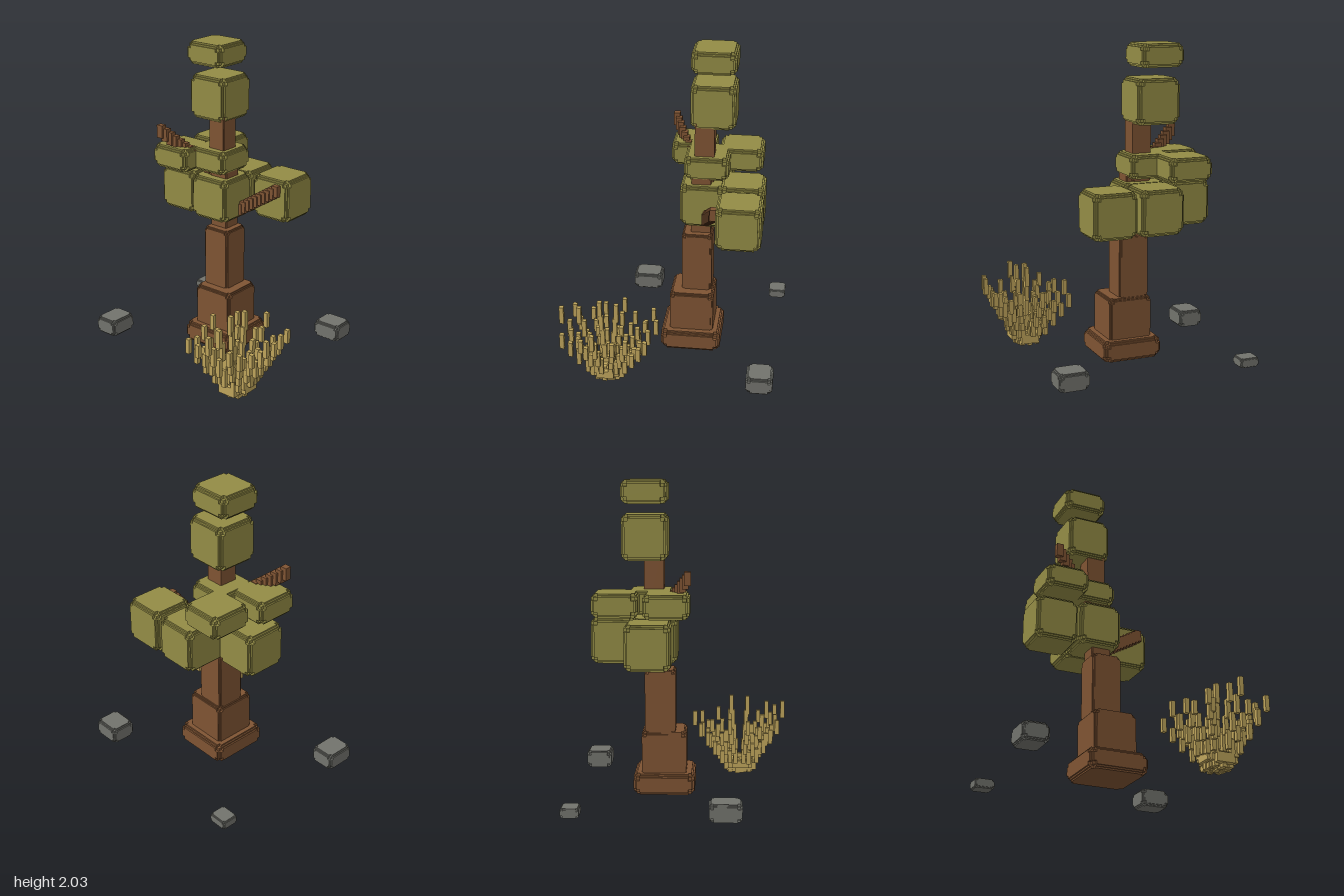
import * as THREE from 'three';
import { mergeGeometries } from 'three/addons/utils/BufferGeometryUtils.js';

const material = (name, color) => {
  const m = new THREE.MeshStandardMaterial({ color });
  m.name = name;
  return m;
};

// Axis-aligned box from its two opposite corners
function boxBetween(a, b) {
  const g = new THREE.BoxGeometry(b[0] - a[0], b[1] - a[1], b[2] - a[2]);
  return g.translate((a[0] + b[0]) / 2, (a[1] + b[1]) / 2, (a[2] + b[2]) / 2);
}

// Block with stepped edges and corners: a union of boxes inset differently per axis
function steppedBlock(a, b, s) {
  const insets = [
    [0, s, 2 * s], [0, 2 * s, s], [s, 0, 2 * s], [2 * s, 0, s], [s, 2 * s, 0], [2 * s, s, 0],
    [s / 2, s / 2, 2 * s], [s / 2, 2 * s, s / 2], [2 * s, s / 2, s / 2],
    [s, s, s * 0.8],
  ];
  return mergeGeometries(insets.map((n) =>
    boxBetween(a.map((v, i) => v + n[i]), b.map((v, i) => v - n[i]))));
}

// Branch: a staircase of small blocks from one point to another
function branchSteps(from, to, size, count) {
  const p = new THREE.Vector3(...from), q = new THREE.Vector3(...to);
  const steps = [];
  for (let i = 0; i <= count; i++) {
    const c = p.clone().lerp(q, i / count);
    steps.push(new THREE.BoxGeometry(...size).translate(c.x, c.y, c.z));
  }
  return mergeGeometries(steps);
}

// Grass blade: upright bars stepping outward and upward to a tip
function grassBlade(cx, cz, x, z, top) {
  const bars = [], count = 5, w = 0.028;
  for (let i = 1; i <= count; i++) {
    const t = i / count, reach = Math.pow(t, 0.85);
    const h = top / count * 1.25;
    const px = cx + (x - cx) * reach, pz = cz + (z - cz) * reach;
    bars.push(new THREE.BoxGeometry(w, h, w).translate(px, top * t - h / 2 + 0.0005, pz));
  }
  return mergeGeometries(bars);
}

export function createModel() {
  const model = new THREE.Group();
  model.name = 'blockTree';
  const bark = material('bark brown', 0x7f5433);
  const leaf = material('leaf olive', 0x938c45);
  const straw = material('dry grass', 0xbfa55c);
  const stone = material('stone grey', 0x72736d);

  const add = (parent, name, geometry, mat) => {
    const mesh = new THREE.Mesh(geometry, mat);
    mesh.name = name;
    parent.add(mesh);
  };
  const group = (name) => {
    const g = new THREE.Group();
    g.name = name;
    model.add(g);
    return g;
  };

  // Trunk sections, bottom to top
  const trunk = group('trunk');
  [
    ['trunkFoot', [-0.21, 0, -0.295], [0.18, 0.135, 0.095], 0.02],
    ['trunkLower', [-0.16, 0.1, -0.245], [0.125, 0.4, 0.04], 0.015],
    ['trunkMiddle', [-0.145, 0.38, -0.225], [0.05, 0.8, -0.03], 0.012],
    ['trunkUpper', [-0.13, 0.76, -0.21], [0, 1.19, -0.085], 0.006],
    ['trunkTop', [-0.16, 1.14, -0.225], [-0.035, 1.56, -0.1], 0.006],
  ].forEach(([name, a, b, s]) => add(trunk, name, steppedBlock(a, b, s), bark));

  // Branches
  add(trunk, 'leftBranch',
    branchSteps([-0.04, 0.87, -0.16], [0.272, 1.075, -0.258], [0.045, 0.075, 0.05], 12), bark);
  add(trunk, 'rightBranch',
    branchSteps([-0.11, 1.15, -0.13], [-0.427, 1.415, 0.058], [0.045, 0.085, 0.04], 12), bark);

  // Foliage: [min x, min y, min z, height]
  const foliage = group('foliage');
  const span = 0.283;
  [
    [-0.24, 0.858, -0.298, span],
    [-0.24, 0.858, -0.553, span],
    [0.067, 0.858, -0.553, span],
    [-0.523, 0.858, -0.325, span],
    [-0.5, 1.17, -0.213, 0.15],
    [-0.44, 1.17, -0.528, 0.15],
    [-0.273, 1.17, -0.32, 0.15],
    [-0.3, 1.507, -0.355, span],
    [-0.327, 1.855, -0.355, 0.145],
  ].forEach(([x, y, z, h], i) => add(foliage, 'leafBlock' + (i + 1),
    steppedBlock([x, y, z], [x + span, y + h, z + span], 0.02), leaf));

  // Dry grass tuft: a blocky root and blades listed as tip x, tip z, height
  const tuft = group('grassTuft');
  const cx = 0.48, cz = 0.39;
  add(tuft, 'grassRoot', mergeGeometries([
    boxBetween([0.4, 0.015, 0.31], [0.56, 0.075, 0.47]),
    boxBetween([0.42, 0, 0.28], [0.54, 0.06, 0.5]),
    boxBetween([0.38, 0.02, 0.34], [0.59, 0.07, 0.45]),
  ]), straw);
  [
    [0.465, 0.08, 0.4], [0.265, 0.125, 0.36], [0.66, 0.125, 0.36], [0.35, 0.17, 0.31],
    [0.585, 0.17, 0.31], [0.3, 0.24, 0.35], [0.695, 0.24, 0.38], [0.225, 0.32, 0.4],
    [0.705, 0.32, 0.36], [0.255, 0.44, 0.38], [0.735, 0.44, 0.43], [0.265, 0.52, 0.34],
    [0.69, 0.52, 0.36], [0.34, 0.6, 0.34], [0.585, 0.6, 0.37], [0.295, 0.635, 0.38],
    [0.69, 0.635, 0.4], [0.49, 0.68, 0.47],
    [0.465, 0.44, 0.51], [0.485, 0.33, 0.51], [0.48, 0.57, 0.47], [0.47, 0.2, 0.34],
    [0.38, 0.32, 0.28], [0.59, 0.33, 0.29], [0.38, 0.47, 0.27], [0.59, 0.47, 0.28],
  ].forEach(([x, z, top], i) =>
    add(tuft, 'grassBlade' + (i + 1), grassBlade(cx, cz, x, z, top), straw));

  // Loose rocks
  const rocks = group('rocks');
  [
    ['frontRock', [-0.752, 0, 0.195], [-0.585, 0.113, 0.395], 0.014],
    ['smallRock', [-0.698, 0, -0.698], [-0.57, 0.06, -0.585], 0.008],
    ['backRock', [0.427, 0, -0.67], [0.62, 0.113, -0.502], 0.014],
  ].forEach(([name, a, b, s]) => add(rocks, name, steppedBlock(a, b, s), stone));

  return model;
}
